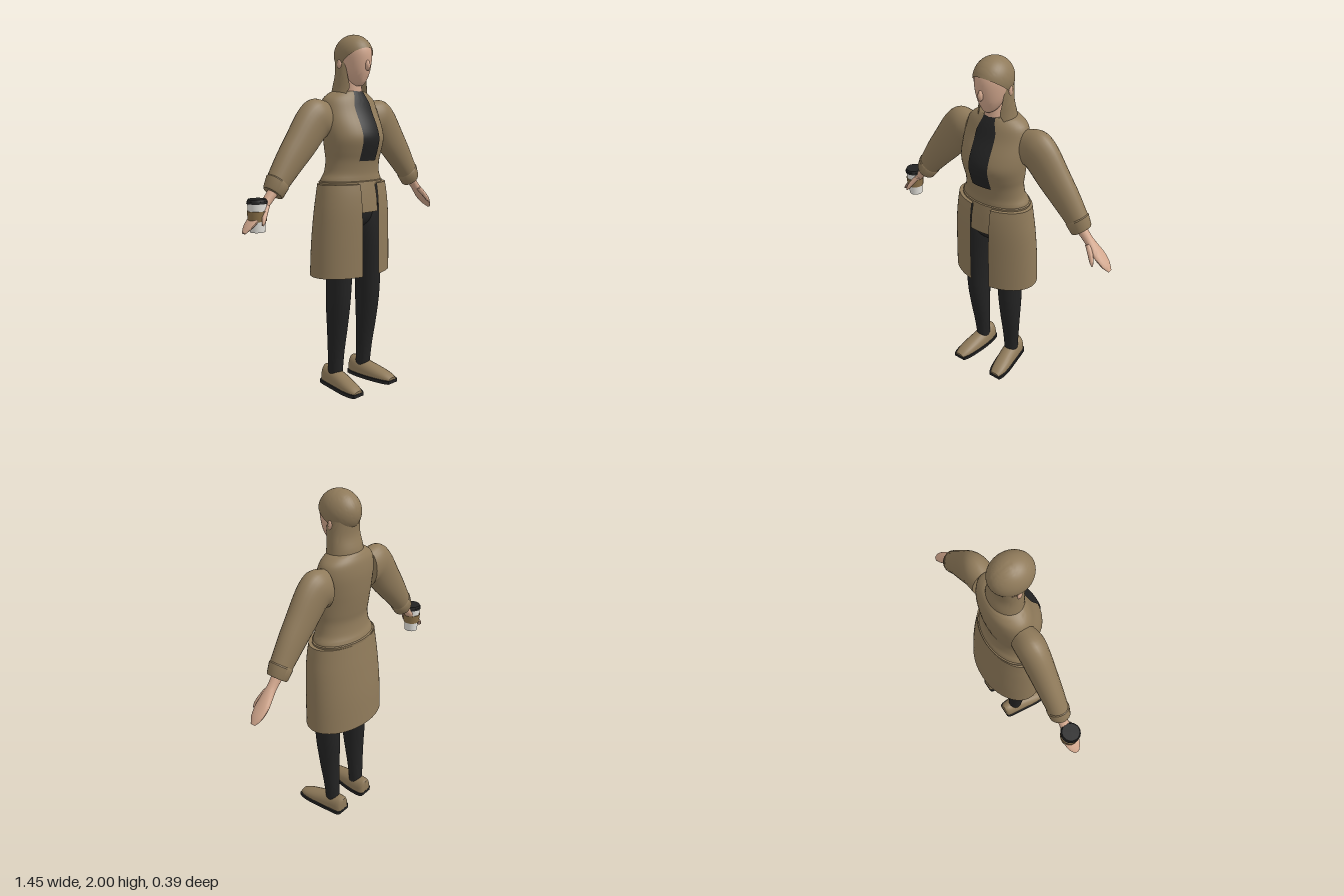
import * as THREE from 'three';
import { toCreasedNormals } from 'three/addons/utils/BufferGeometryUtils.js';

const TAU = Math.PI * 2;

function material(name, color, side = THREE.FrontSide) {
  const m = new THREE.MeshStandardMaterial({ color, side });
  m.name = name;
  return m;
}

// Surface through a list of rings; optionally closed round and capped at both ends
function skin(rings, closed = true, caps = closed) {
  const n = rings[0].length, pos = [], idx = [];
  rings.forEach(r => r.forEach(p => pos.push(...p)));
  const cols = closed ? n : n - 1;
  for (let i = 0; i < rings.length - 1; i++) {
    for (let j = 0; j < cols; j++) {
      const k = (j + 1) % n, a = i * n + j, b = i * n + k, c = b + n, d = a + n;
      idx.push(a, b, c, a, c, d);
    }
  }
  if (caps) {
    [rings[0], rings[rings.length - 1]].forEach((r, end) => {
      const base = pos.length / 3;
      const mid = [0, 1, 2].map(q => r.reduce((s, p) => s + p[q], 0) / n);
      r.forEach(p => pos.push(...p));
      pos.push(...mid);
      for (let j = 0; j < n; j++) {
        const a = base + j, b = base + (j + 1) % n;
        if (end) idx.push(a, b, base + n); else idx.push(b, a, base + n);
      }
    });
  }
  const g = new THREE.BufferGeometry();
  g.setAttribute('position', new THREE.Float32BufferAttribute(pos, 3));
  g.setIndex(idx);
  return g;
}

// Smoothly interpolated rows of a table, between two positions along it
function smooth(table, count = 28, t0 = 0, t1 = 1) {
  const curves = table[0].map((_, c) => new THREE.SplineCurve(table.map((r, i) => new THREE.Vector2(i, r[c]))));
  return Array.from({ length: count + 1 }, (_, i) =>
    curves.map(c => c.getPoint(t0 + (t1 - t0) * i / count).y));
}

// Level oval: half width, front z, back z, centre x; angle 0 is the front
function oval([y, w, zf, zb, cx = 0], n = 40) {
  return Array.from({ length: n }, (_, j) => {
    const a = j / n * TAU;
    return [cx + w * Math.sin(a), y, (zf + zb) / 2 + (zf - zb) / 2 * Math.cos(a)];
  });
}

// Part of a level oval, from angle a0 to a1
function arc([y, w, zf, zb], a0, a1, n = 40) {
  return Array.from({ length: n + 1 }, (_, j) => {
    const a = a0 + (a1 - a0) * j / n;
    return [w * Math.sin(a), y, (zf + zb) / 2 + (zf - zb) / 2 * Math.cos(a)];
  });
}

// Limb ring: centre, direction in degrees, radius in the xy plane, radius in z
function limb([x, y, z, deg, r, rz], n = 24) {
  const f = deg * Math.PI / 180;
  return Array.from({ length: n }, (_, j) => {
    const a = j / n * TAU, k = r * Math.cos(a);
    return [x - Math.sin(f) * k, y + Math.cos(f) * k, z + rz * Math.sin(a)];
  });
}

export function createModel() {
  const coat = material('coat brown', 0x8f7a5a, THREE.DoubleSide);
  const flesh = material('skin', 0xd3a88e);
  const black = material('black', 0x232323, THREE.DoubleSide);
  const white = material('cup white', 0xe4e2dc);
  const card = material('cup sleeve brown', 0x8a7048);

  const model = new THREE.Group();
  const body = new THREE.Group();
  body.name = 'woman';
  body.position.x = -0.013;
  model.add(body);

  function add(name, geo, mat) {
    const m = new THREE.Mesh(toCreasedNormals(geo, 0.7), mat);
    m.name = name;
    body.add(m);
    return m;
  }
  function pair(name, geo, mat) {
    const other = geo.clone().scale(-1, 1, 1);
    other.setIndex([...geo.index.array].reverse());
    add('left' + name, geo, mat);
    add('right' + name, other, mat);
  }

  // Coat body
  const torso = [
    [1.18, 0.207, 0.115, -0.142], [1.21, 0.203, 0.115, -0.14], [1.25, 0.183, 0.113, -0.125],
    [1.315, 0.177, 0.122, -0.117], [1.37, 0.184, 0.14, -0.125], [1.435, 0.191, 0.155, -0.135],
    [1.50, 0.194, 0.137, -0.142], [1.58, 0.19, 0.096, -0.145], [1.645, 0.175, 0.07, -0.137],
    [1.68, 0.135, 0.053, -0.122], [1.695, 0.1, 0.045, -0.11]];
  add('coatBody', skin(smooth(torso, 40).map(r => oval(r))), coat);
  add('waistBand', skin([[1.18, 0.21, 0.12, -0.146], [1.2, 0.212, 0.121, -0.148],
    [1.206, 0.2, 0.112, -0.138]].map(r => oval(r))), coat);

  // Dark shirt front, lying on the coat body
  add('shirtFront', skin(smooth(torso, 24, 0.3, 1).map(([y, w, zf, zb]) => {
    const half = 0.06 - 0.024 * THREE.MathUtils.smoothstep(y, 1.61, 1.695);
    const a = Math.asin(half / w);
    return arc([y, w + 0.004, zf + 0.005, zb], -a, a, 12);
  }), false), black);

  // Coat skirt with a front opening and a short panel behind it
  const skirt = smooth([[0.67, 0.267, 0.155, -0.195], [0.85, 0.262, 0.155, -0.186],
    [1.02, 0.252, 0.153, -0.168], [1.12, 0.24, 0.146, -0.155], [1.188, 0.23, 0.135, -0.146]], 16);
  skirt.push([1.19, 0.19, 0.1, -0.12]);
  add('coatSkirt', skin(skirt.map(r => {
    const a = Math.asin(0.063 / r[1]);
    return arc(r, a, TAU - a, 56);
  }), false), coat);
  add('frontPanel', skin([[1.03, 0.235, 0.142, -0.15], [1.12, 0.225, 0.136, -0.15], [1.2, 0.21, 0.121, -0.14]]
    .map(r => arc(r, -0.29, 0.29, 10)), false), coat);

  // Trousers
  add('hips', skin(smooth([[0.93, 0.06, 0.05, -0.08], [0.98, 0.16, 0.095, -0.12],
    [1.08, 0.19, 0.105, -0.13], [1.18, 0.185, 0.1, -0.12]], 12).map(r => oval(r))), black);
  pair('Leg', skin(smooth([
    [0.07, 0.042, 0.016, -0.07, 0.112], [0.2, 0.049, 0.03, -0.066, 0.114], [0.35, 0.058, 0.057, -0.067, 0.116],
    [0.5, 0.065, 0.08, -0.073, 0.117], [0.65, 0.071, 0.09, -0.071, 0.115], [0.82, 0.085, 0.1, -0.09, 0.11],
    [0.95, 0.094, 0.102, -0.11, 0.1], [1.05, 0.09, 0.1, -0.115, 0.1]], 24).map(r => oval(r, 28))), black);

  // Shoes: z, centre x, half width, top height
  const shoe = smooth([[-0.115, 0.11, 0.03, 0.1], [-0.1, 0.111, 0.046, 0.106], [-0.04, 0.113, 0.053, 0.102],
    [0.03, 0.12, 0.054, 0.088], [0.1, 0.13, 0.052, 0.07], [0.16, 0.137, 0.044, 0.052], [0.197, 0.14, 0.03, 0.034]], 18);
  pair('Shoe', skin(shoe.map(([z, cx, w, top]) => Array.from({ length: 24 }, (_, j) => {
    const a = j / 24 * TAU;
    return [cx + w * Math.cos(a), 0.015 + (top - 0.015) * Math.max(0, Math.sin(a)) ** 0.7, z];
  }))), coat);
  pair('Sole', skin(shoe.map(([z, cx, w]) =>
    [[1, 0], [1, 0.02], [-1, 0.02], [-1, 0]].map(([s, y]) => [cx + s * (w + 0.008), y, z * 1.01]))), black);

  // Sleeves and cuffs
  pair('Sleeve', skin(smooth([
    [0.175, 1.533, -0.035, 0, 0.106, 0.07], [0.225, 1.545, -0.035, -20, 0.112, 0.077],
    [0.273, 1.512, -0.035, -40, 0.109, 0.075], [0.353, 1.41, -0.034, -51, 0.097, 0.069],
    [0.43, 1.317, -0.034, -52, 0.083, 0.063], [0.518, 1.203, -0.034, -52, 0.063, 0.055]], 24).map(r => limb(r))), coat);
  pair('Cuff', skin([[0.498, 1.23, -0.034, -52, 0.062, 0.053], [0.505, 1.22, -0.034, -52, 0.07, 0.061],
    [0.533, 1.172, -0.034, -52, 0.061, 0.056], [0.538, 1.165, -0.034, -52, 0.056, 0.051]].map(r => limb(r))), coat);

  // Hands and thumbs
  pair('Hand', skin(smooth([
    [0.535, 1.172, -0.034, -50, 0.029, 0.03], [0.575, 1.128, -0.034, -48, 0.025, 0.027],
    [0.615, 1.085, -0.035, -45, 0.023, 0.036], [0.655, 1.045, -0.037, -43, 0.019, 0.044],
    [0.695, 1.005, -0.037, -40, 0.014, 0.036], [0.722, 0.977, -0.036, -40, 0.006, 0.014]], 16).map(r => limb(r, 18))), flesh);
  pair('Thumb', skin(smooth([
    [0.59, 1.11, -0.015, -55, 0.015, 0.02], [0.62, 1.07, 0.008, -60, 0.014, 0.015],
    [0.64, 1.035, 0.024, -60, 0.011, 0.011], [0.65, 1.015, 0.03, -60, 0.004, 0.004]], 8).map(r => limb(r, 12))), flesh);

  // Neck and head
  const neck = new THREE.CylinderGeometry(0.052, 0.062, 0.16, 24);
  add('neck', neck.translate(0, 1.73, -0.008), flesh);
  add('head', skin(smooth([
    [1.722, 0.012, 0.07, 0.035], [1.735, 0.034, 0.084, 0], [1.765, 0.056, 0.099, -0.03],
    [1.8, 0.073, 0.111, -0.06], [1.85, 0.085, 0.12, -0.085], [1.9, 0.09, 0.121, -0.095],
    [1.94, 0.083, 0.108, -0.085], [1.975, 0.055, 0.065, -0.05]], 24).map(r => oval(r))), flesh);
  const nose = new THREE.SphereGeometry(1, 16, 12).scale(0.014, 0.03, 0.019);
  add('nose', nose.rotateX(-0.2).translate(0, 1.832, 0.117), flesh);
  pair('Ear', new THREE.SphereGeometry(1, 14, 10).scale(0.012, 0.028, 0.016).translate(0.09, 1.838, -0.006), flesh);

  // Hair: a tilted cap and a long fall open at the front
  const cap = new THREE.SphereGeometry(1, 40, 24, 0, TAU, 0, 1.92).rotateX(-0.66);
  add('hairCap', cap.scale(0.1, 0.11, 0.118).translate(0, 1.89, 0.009), coat);
  const fall = smooth([[1.655, 0.116, 0.062, -0.112], [1.71, 0.107, 0.062, -0.108],
    [1.78, 0.1, 0.062, -0.088], [1.86, 0.095, 0.06, -0.088]], 12);
  add('hairFall', skin(fall.map((r, i) => {
    const a = 0.65 + 0.35 * Math.max(0, 1 - i / 4) + 0.4 * Math.max(0, (i - 5) / 7);
    return arc(r, a, TAU - a, 40);
  }), false), coat);

  // Takeaway cup in the right hand
  const cup = new THREE.Group();
  cup.name = 'cup';
  cup.position.set(-0.637, 0, -0.035);
  body.add(cup);
  [['cupBody', 0.05, 0.039, 0.975, 1.125, white], ['cupSleeve', 0.052, 0.048, 1.032, 1.084, card],
    ['cupLidRim', 0.053, 0.054, 1.122, 1.134, black], ['cupLidTop', 0.047, 0.05, 1.134, 1.145, black]]
    .forEach(([name, top, bottom, y0, y1, mat]) => {
      const m = new THREE.Mesh(new THREE.CylinderGeometry(top, bottom, y1 - y0, 28), mat);
      m.name = name;
      m.position.y = (y0 + y1) / 2;
      cup.add(m);
    });
  return model;
}
